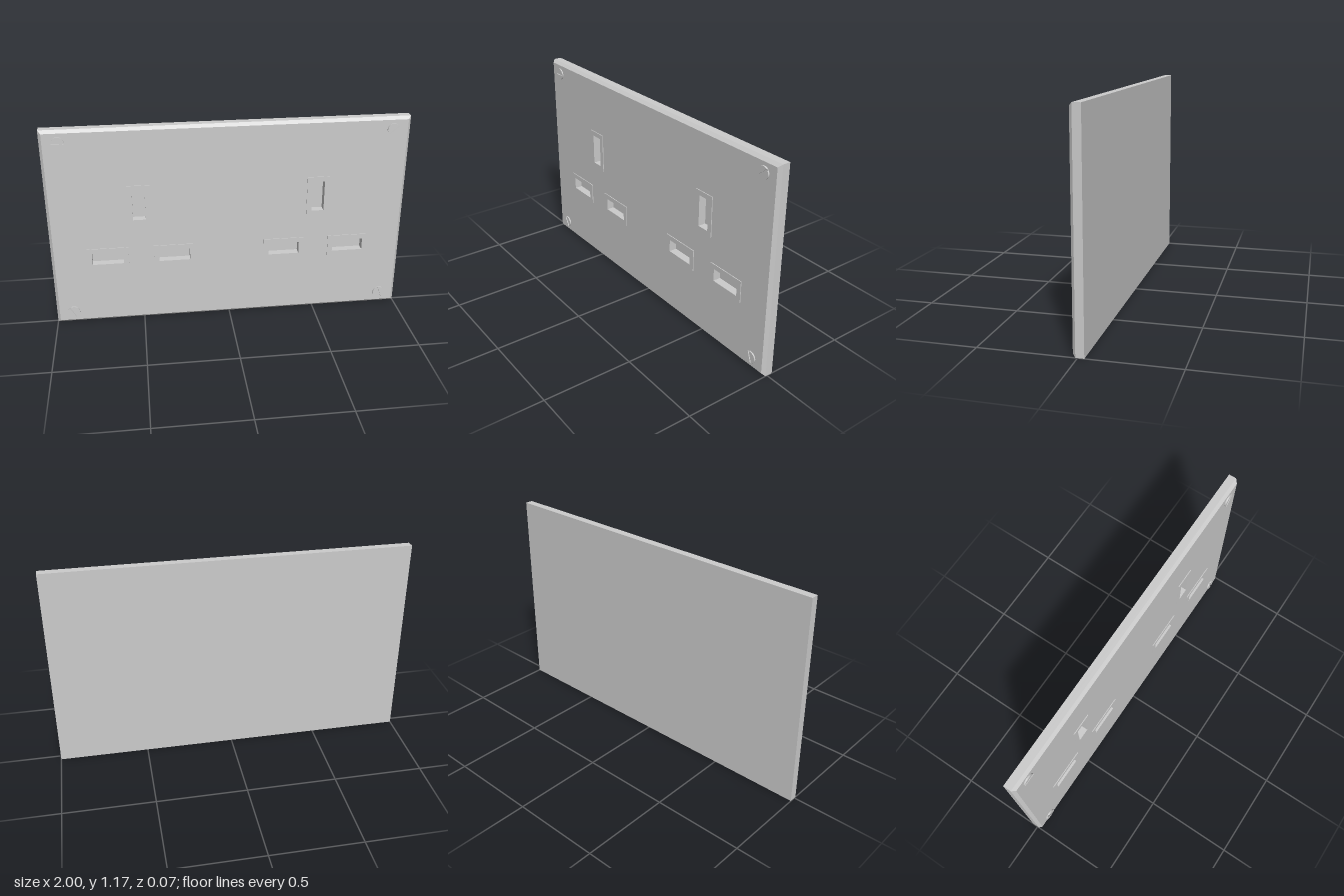
import * as THREE from 'three';

const W = 2, H = 1.168;
const BACK = -0.033, FLOOR = -0.013, EDGE = 0.01, FRONT = 0.027;
const BEVEL = 0.016;
const SLOT_L = 0.176, SLOT_W = 0.07, RIM = 0.028;
const material = new THREE.MeshStandardMaterial({ color: 0xcccccc });

function rect(Type, x, y, w, h) {
  return new Type([[-1, -1], [1, -1], [1, 1], [-1, 1]].map(
    ([i, j]) => new THREE.Vector2(x + i * w / 2, y + j * h / 2)));
}

function extrude(shape, depth, steps = 1) {
  return new THREE.ExtrudeGeometry(shape, { depth, steps, bevelEnabled: false, curveSegments: 24 });
}

function add(parent, name, geometry, x = 0, y = 0, z = 0) {
  const mesh = new THREE.Mesh(geometry, material);
  mesh.name = name;
  mesh.position.set(x, y, z);
  parent.add(mesh);
  return mesh;
}

// Front slab with pin holes; its outer front edge is pulled in to a chamfer
function plateGeometry(slots) {
  const shape = rect(THREE.Shape, 0, H / 2, W, H);
  for (const s of slots) shape.holes.push(rect(THREE.Path, s.x, s.y, s.w, s.h));
  const geo = extrude(shape, FRONT - FLOOR, 2);
  const p = geo.attributes.position;
  for (let i = 0; i < p.count; i++) {
    const z = p.getZ(i) + FLOOR;
    const front = z > FRONT - 0.001;
    const middle = !front && z > FLOOR + 0.001;
    p.setZ(i, middle ? EDGE : z);
    const x = p.getX(i), y = p.getY(i);
    if (front && Math.abs(x) > W / 2 - 0.001) {
      p.setX(i, x - Math.sign(x) * BEVEL);
      p.setY(i, y < H / 2 ? BEVEL : H - BEVEL);
    }
  }
  geo.computeVertexNormals();
  return geo;
}

// Round head with a straight driver slot
function makeScrew(x, y, angle) {
  const screw = new THREE.Group();
  screw.name = 'screw';
  screw.position.set(x, y, 0);
  screw.rotation.z = angle;
  const r = 0.034, gap = 0.005, a = Math.asin(gap / r);
  const base = new THREE.CylinderGeometry(r, r, 0.012, 40);
  base.rotateX(Math.PI / 2);
  add(screw, 'screwBase', base, 0, 0, 0.0235);
  for (const turn of [0, Math.PI]) {
    const half = new THREE.Shape();
    half.absarc(0, 0, r, a, Math.PI - a, false);
    half.closePath();
    add(screw, 'screwHeadHalf', extrude(half, 0.0055), 0, 0, 0.0295).rotation.z = turn;
  }
  return screw;
}

export function createModel() {
  const model = new THREE.Group();
  model.name = 'doubleSocketPlate';

  // Three pin slots per outlet
  const slots = [];
  for (const cx of [-0.5, 0.5]) {
    slots.push({ x: cx, y: 0.723, w: SLOT_W, h: SLOT_L });
    for (const s of [-1, 1]) slots.push({ x: cx + s * 0.187, y: 0.405, w: SLOT_L, h: SLOT_W });
  }

  add(model, 'backSlab', new THREE.BoxGeometry(W, H, FLOOR - BACK), 0, H / 2, (BACK + FLOOR) / 2);
  add(model, 'frontPlate', plateGeometry(slots));

  // Raised rims around the slots
  for (const s of slots) {
    const rim = rect(THREE.Shape, 0, 0, s.w + 2 * RIM, s.h + 2 * RIM);
    rim.holes.push(rect(THREE.Path, 0, 0, s.w, s.h));
    add(model, 'slotRim', extrude(rim, 0.0045), s.x, s.y, FRONT);
  }

  // Corner screws
  model.add(makeScrew(-0.903, 1.099, 0), makeScrew(0.903, 1.099, 0.7));
  model.add(makeScrew(-0.903, 0.07, 2.1), makeScrew(0.903, 0.07, 1.9));
  return model;
}
